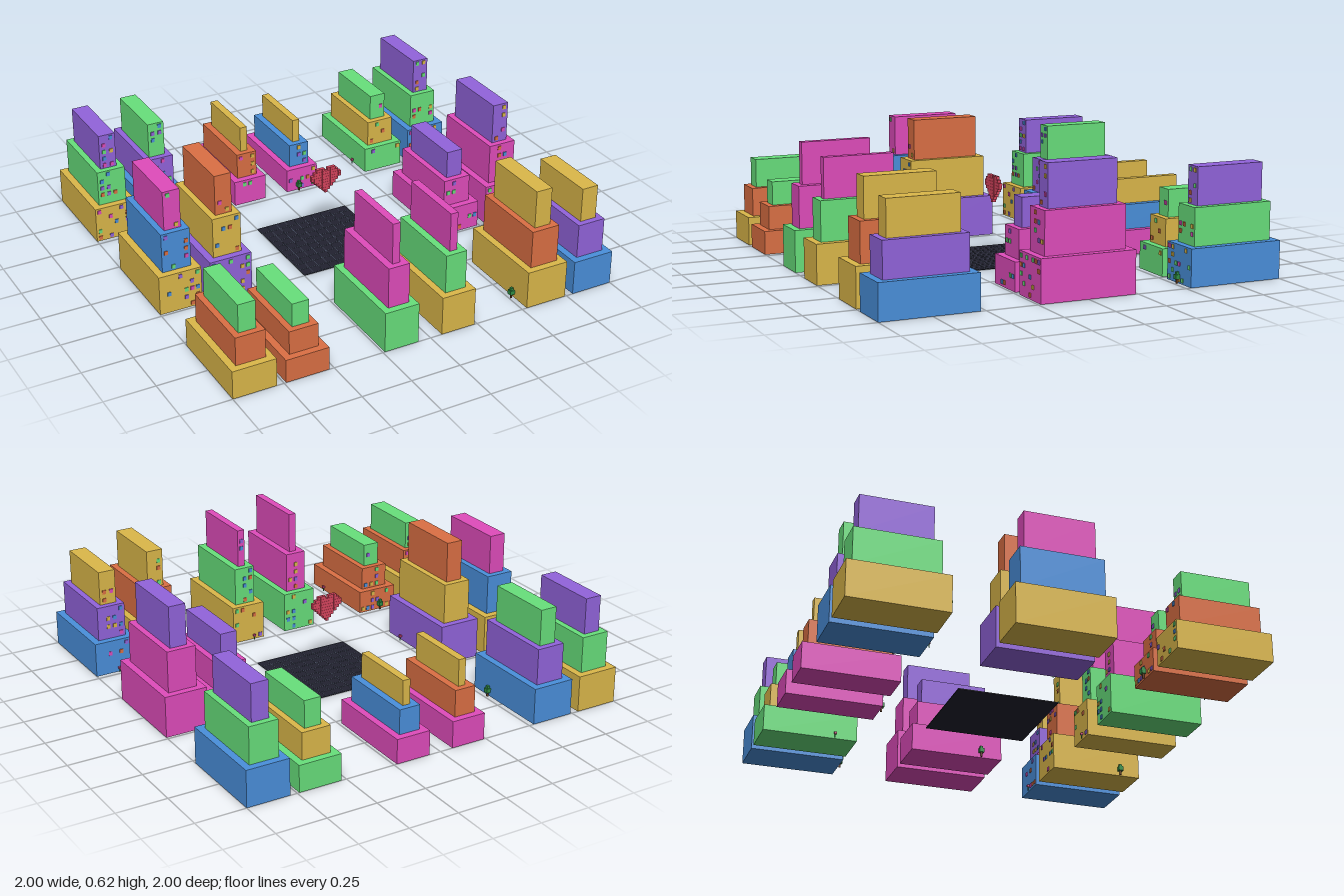
import * as THREE from 'three';

const COLORS = {
  Y: 0xdcb84a, G: 0x68e07c, P: 0x9264dc, B: 0x4a90dc, K: 0xe04cbc, O: 0xdc7044,
};
const mats = {};
function material(color) {
  return (mats[color] ??= new THREE.MeshStandardMaterial({ color, flatShading: true }));
}

function box(parent, name, size, pos, color) {
  const mesh = new THREE.Mesh(new THREE.BoxGeometry(...size), material(color));
  mesh.position.set(...pos);
  mesh.name = name;
  parent.add(mesh);
  return mesh;
}

// Small seeded generator for the window scatter
let seed = 7;
function rand() {
  seed = (seed * 16807) % 2147483647;
  return seed / 2147483647;
}

const DEPTHS = [0.475, 0.405, 0.345];
const WIDE = [0.215, 0.145, 0.085];
const NARROW = [0.175, 0.108, 0.038];

// Stepped three-tier tower with windows on one face
function tower(x, z, colors, height, widths, face) {
  const group = new THREE.Group();
  group.name = 'tower';
  group.position.set(x, 0, z);
  const h = height / 3;
  const palette = Object.keys(COLORS);
  widths.forEach((w, i) => {
    const d = DEPTHS[i];
    box(group, 'tier' + (i + 1), [w, h, d], [0, h * (i + 0.5), 0], COLORS[colors[i]]);
    // Windows sit in random cells of a grid on the tier face
    const cols = Math.max(1, Math.floor(w / 0.03)), rows = Math.floor(h / 0.035);
    for (let c = 0; c < cols; c++) {
      for (let r = 0; r < rows; r++) {
        if (rand() > 0.4) continue;
        const wx = ((c + 0.5) / cols - 0.5) * (w - 0.01);
        const wy = h * (i + (r + 0.5) / rows);
        const tint = palette[Math.floor(rand() * palette.length)];
        if (tint === colors[i]) continue;
        box(group, 'window', [0.018, 0.02, 0.008], [wx, wy, face * d / 2], COLORS[tint]);
      }
    }
  });
  return group;
}

// Little tree: trunk and stacked crown
function tree(x, z) {
  const group = new THREE.Group();
  group.name = 'tree';
  group.position.set(x, 0, z);
  box(group, 'trunk', [0.008, 0.025, 0.008], [0, 0.0125, 0], 0x7a4a2a);
  box(group, 'crown', [0.024, 0.022, 0.024], [0, 0.033, 0], 0x2f8f45);
  box(group, 'crownTop', [0.014, 0.012, 0.014], [0, 0.05, 0], 0x2f8f45);
  return group;
}

// Little flower: stem and blossom
function flower(x, z) {
  const group = new THREE.Group();
  group.name = 'flower';
  group.position.set(x, 0, z);
  box(group, 'stem', [0.004, 0.02, 0.004], [0, 0.01, 0], 0x2f8f45);
  box(group, 'blossom', [0.012, 0.01, 0.012], [0, 0.024, 0], 0xd04a80);
  return group;
}

// Dark square plaza with thin grid lines
function plaza() {
  const group = new THREE.Group();
  group.name = 'plaza';
  box(group, 'floor', [0.5, 0.004, 0.5], [0, 0.002, 0], 0x222230);
  for (let i = 0; i <= 10; i++) {
    const p = -0.249 + 0.0498 * i;
    box(group, 'gridLine', [0.002, 0.001, 0.5], [p, 0.0045, 0], 0x4a5568);
    box(group, 'gridLine', [0.5, 0.001, 0.002], [0, 0.0045, p], 0x4a5568);
  }
  return group;
}

// Floating heart made of small cubes
function heart() {
  const group = new THREE.Group();
  group.name = 'heart';
  const rows = [
    '..XXX.XXX..',
    '.XXXXXXXXX.',
    'XXXXXXXXXXX',
    'XXXXXXXXXXX',
    '.XXXXXXXXX.',
    '..XXXXXXX..',
    '...XXXXX...',
    '....XXX....',
    '.....X.....',
  ];
  const s = 0.0148;
  rows.forEach((row, j) => [...row].forEach((cell, i) => {
    if (cell !== 'X') return;
    box(group, 'heartCube', [s * 0.96, s * 0.96, 0.018],
      [(i - 5) * s, 0.408 - (j + 0.5) * s, 0], 0xd9455f);
  }));
  return group;
}

export function createModel() {
  const model = new THREE.Group();
  model.name = 'cityBlock';

  // Each row: z, window direction, then [x, tier colours, height]
  const layout = [
    [-0.7625, 1, [
      [-0.8925, 'YGP', 0.54], [-0.6325, 'BPG', 0.54], [-0.1525, 'KOY', 0.4],
      [0.1475, 'KBY', 0.37], [0.6325, 'GYG', 0.4], [0.8925, 'BGP', 0.545]]],
    [0, 1, [
      [-0.8925, 'YBK', 0.6], [-0.6325, 'PYO', 0.615],
      [0.6325, 'KKP', 0.42], [0.8925, 'KKP', 0.615]]],
    [0.7625, -1, [
      [-0.8925, 'YOG', 0.425], [-0.6325, 'OOG', 0.35], [-0.1525, 'GKK', 0.61],
      [0.1475, 'YGK', 0.58], [0.6325, 'YOY', 0.57], [0.8925, 'BPY', 0.515]]],
  ];
  for (const [z, face, towers] of layout) {
    for (const [x, colors, height] of towers) {
      const widths = Math.abs(x) < 0.3 ? NARROW : WIDE;
      model.add(tower(x, z, colors, height, widths, face));
    }
  }

  // Street planting
  const trees = [[-0.515, -0.645], [0.125, -0.515], [0.89, -0.515],
    [0.51, 0.125], [-0.645, 0.515], [0.51, 0.89]];
  const flowers = [[-0.635, -0.515], [0.51, -0.64], [-0.515, 0.12],
    [0.12, 0.515], [0.88, 0.515], [-0.515, 0.885]];
  trees.forEach(([x, z]) => model.add(tree(x, z)));
  flowers.forEach(([x, z]) => model.add(flower(x, z)));

  model.add(plaza(), heart());
  return model;
}
